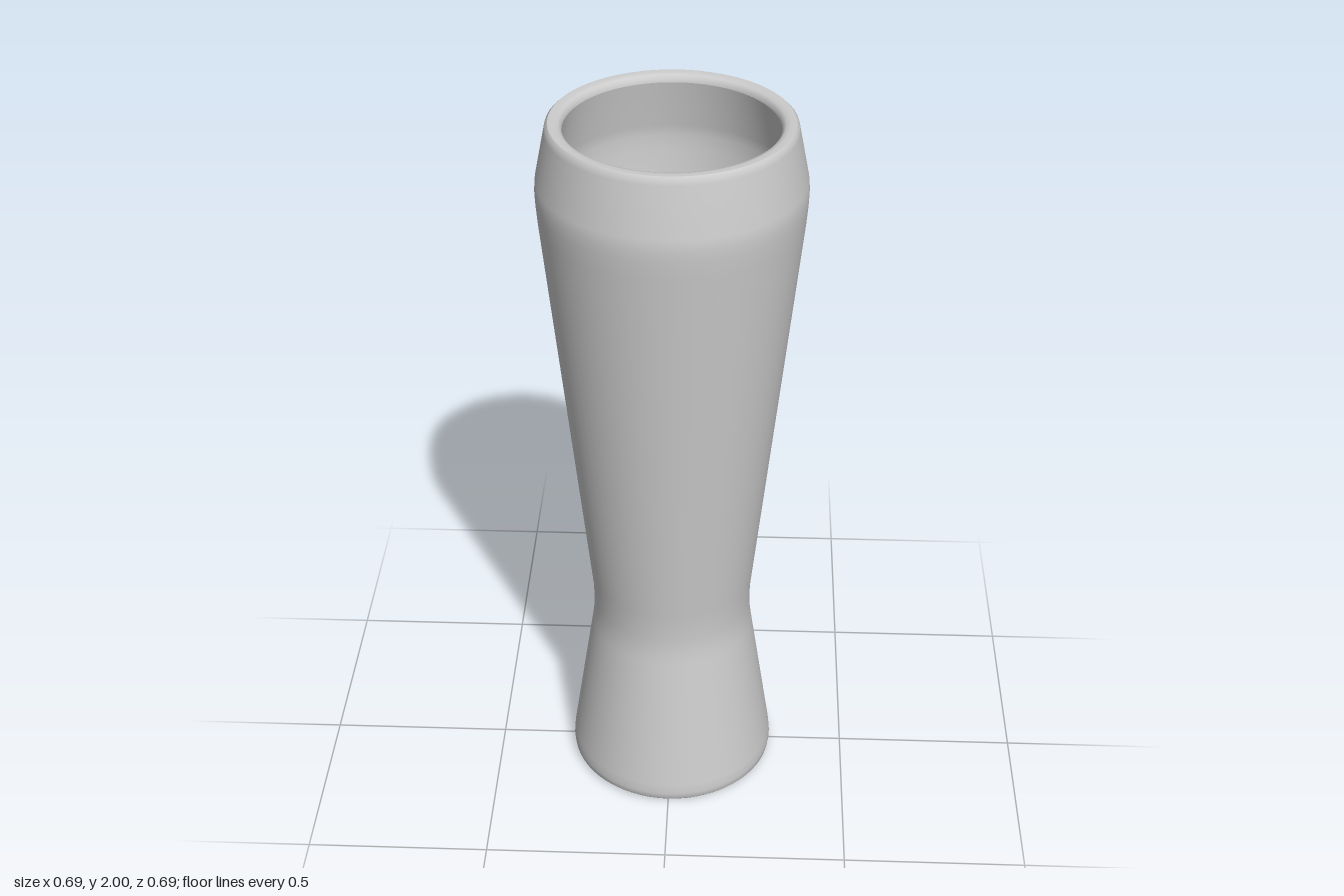
import * as THREE from 'three';

const material = new THREE.MeshStandardMaterial({ color: 0xcccccc });

// Revolve a list of [radius, height] pairs around the vertical axis
function revolve(name, pairs) {
  const points = pairs.map(([r, y]) => new THREE.Vector2(r, y));
  const mesh = new THREE.Mesh(new THREE.LatheGeometry(points, 64), material);
  mesh.name = name;
  return mesh;
}

export function createModel() {
  const group = new THREE.Group();
  group.name = 'waistedGlass';

  // Outside: flared foot, narrow waist, widening body, tapered lip
  group.add(revolve('outerWall', [
    [0, 0], [0.265, 0], [0.28, 0.004], [0.287, 0.012], [0.289, 0.03], [0.286, 0.06],
    [0.226, 0.46], [0.221, 0.50], [0.22, 0.54], [0.222, 0.59], [0.226, 0.63],
    [0.338, 1.74], [0.342, 1.79], [0.343, 1.82], [0.341, 1.85],
    [0.315, 1.98], [0.312, 1.993], [0.305, 2.0],
  ]));

  // Rounded lip joining the outer and inner walls
  group.add(revolve('rim', [
    [0.305, 2.0], [0.29, 2.0], [0.279, 1.997], [0.272, 1.99], [0.27, 1.98],
  ]));

  // Inside: follows the outer wall down to the waist
  group.add(revolve('innerWall', [
    [0.27, 1.98], [0.295, 1.85], [0.298, 1.82], [0.296, 1.78], [0.291, 1.72],
    [0.18, 0.63], [0.176, 0.58],
  ]));

  // Solid floor above the waist
  const floor = new THREE.Mesh(new THREE.CircleGeometry(0.176, 64), material);
  floor.name = 'floor';
  floor.rotation.x = -Math.PI / 2;
  floor.position.y = 0.58;
  group.add(floor);

  return group;
}
